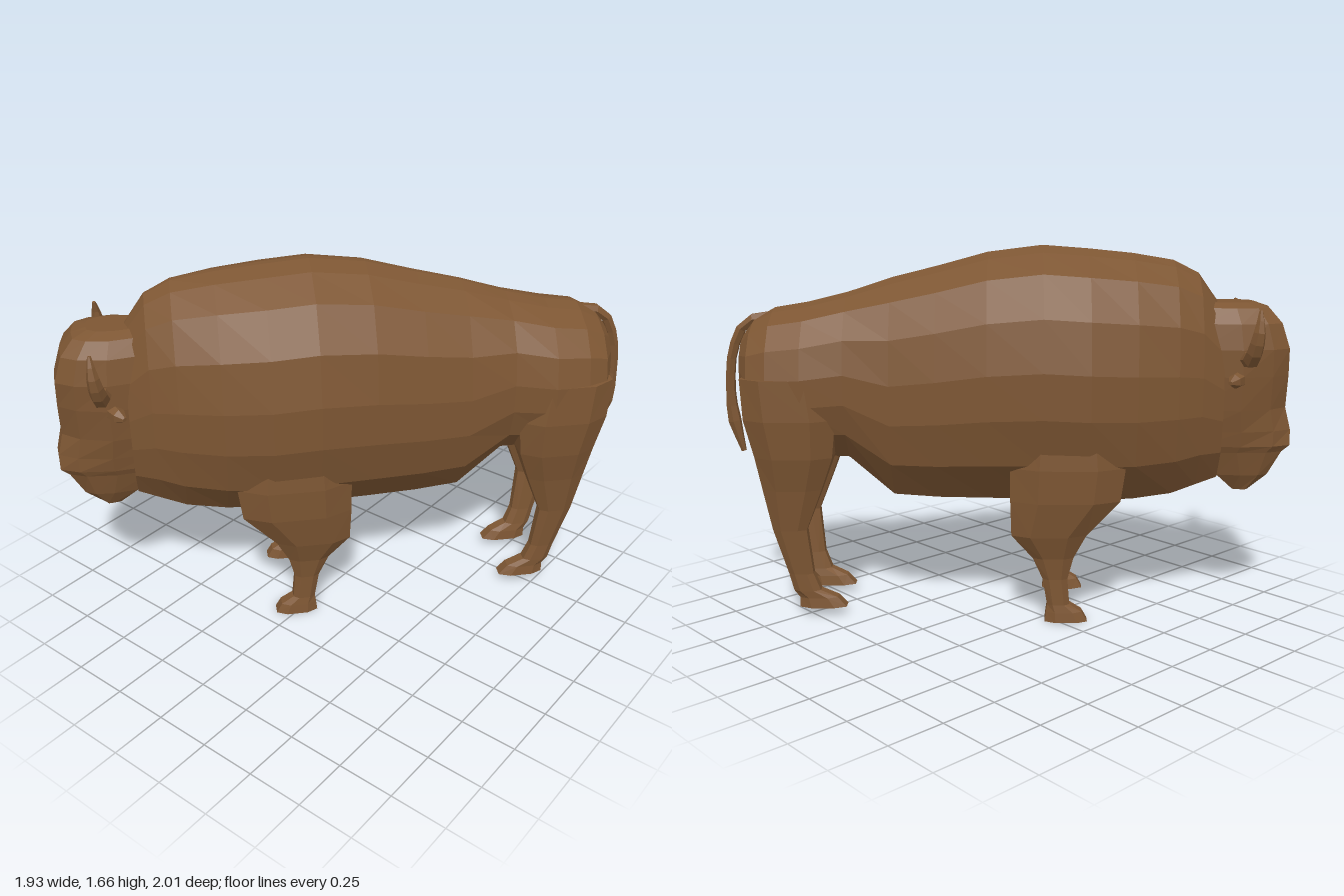
import * as THREE from 'three';

const hide = new THREE.MeshStandardMaterial({ color: 0x7d5633, flatShading: true });

// Skin a list of equal-length closed rings of [x, y, z], closing both ends with a fan
function loft(name, rings) {
  const n = rings[0].length, pos = [], v = (p) => new THREE.Vector3(...p);
  const tris = [];
  for (let i = 0; i < rings.length - 1; i++) {
    for (let j = 0; j < n; j++) {
      const k = (j + 1) % n, a = rings[i], b = rings[i + 1];
      tris.push([a[j], a[k], b[k]], [a[j], b[k], b[j]]);
    }
  }
  const mid = (r) => [0, 1, 2].map((c) => r.reduce((t, p) => t + p[c], 0) / n);
  const first = rings[0], last = rings[rings.length - 1];
  const c0 = mid(first), c1 = mid(last);
  for (let j = 0; j < n; j++) {
    const k = (j + 1) % n;
    tris.push([c0, first[k], first[j]], [c1, last[j], last[k]]);
  }
  // turn the corners round if the skin came out inside out
  let volume = 0;
  for (const [a, b, c] of tris) volume += v(a).dot(v(b).cross(v(c)));
  for (const [a, b, c] of tris) pos.push(...a, ...(volume > 0 ? b : c), ...(volume > 0 ? c : b));
  const g = new THREE.BufferGeometry();
  g.setAttribute('position', new THREE.Float32BufferAttribute(pos, 3));
  g.computeVertexNormals();
  const m = new THREE.Mesh(g, hide);
  m.name = name;
  return m;
}

// Mirror a half outline (x >= 0) into a closed ring
const mirrorRing = (half) => [...half, ...half.slice().reverse().map(([x, y, z]) => [-x, y, z])];

// Trunk: z, belly height, back height, half width
function body() {
  const section = [[0.42, 0], [0.84, 0.17], [0.99, 0.36], [1, 0.54], [0.9, 0.74], [0.62, 0.9], [0.27, 0.975], [0.04, 1]];
  const stations = [
    [-1.17, 0.95, 1.27, 0.15], [-1.12, 0.8, 1.335, 0.25], [-1.03, 0.75, 1.385, 0.285], [-0.88, 0.74, 1.41, 0.3],
    [-0.7, 0.73, 1.455, 0.275], [-0.5, 0.56, 1.52, 0.3], [-0.3, 0.55, 1.57, 0.335], [-0.08, 0.55, 1.63, 0.37],
    [0.16, 0.55, 1.66, 0.395], [0.36, 0.545, 1.645, 0.395], [0.56, 0.545, 1.625, 0.355], [0.74, 0.565, 1.595, 0.3],
    [0.85, 0.6, 1.54, 0.25], [0.95, 0.63, 1.4, 0.195],
  ];
  return loft('body', stations.map(([z, lo, hi, w]) =>
    mirrorRing(section.map(([x, t]) => [x * w, lo + t * (hi - lo), z]))));
}

// Head, from the beard up to the crown: y, back z, front z, half width, half width of the face
function head() {
  const levels = [
    [0.565, 1.03, 1.1, 0.06, 0.045], [0.64, 0.95, 1.18, 0.1, 0.07], [0.75, 0.86, 1.235, 0.13, 0.09],
    [0.78, 0.85, 1.27, 0.145, 0.095], [0.85, 0.85, 1.27, 0.16, 0.085], [0.95, 0.85, 1.245, 0.18, 0.08],
    [1.1, 0.85, 1.245, 0.198, 0.11], [1.22, 0.85, 1.24, 0.2, 0.13], [1.33, 0.86, 1.205, 0.18, 0.12],
    [1.395, 0.88, 1.15, 0.135, 0.09], [1.415, 0.9, 1.09, 0.08, 0.05],
  ];
  return loft('head', levels.map(([y, b, f, w, fw]) => mirrorRing([
    [0.02, y, f + 0.01], [fw, y, f], [(w + fw) / 2 + 0.01, y, f - (f - b) * 0.2], [w, y, b + (f - b) * 0.45], [w * 0.85, y, b],
  ])));
}

// Leg: y, centre x, centre z, half width, half length
function leg(name, side, levels) {
  const outline = [[1, 0.5], [0.55, 1], [-0.55, 1], [-1, 0.5], [-1, -0.5], [-0.55, -1], [0.55, -1], [1, -0.5]];
  return loft(name, levels.map(([y, x, z, w, l]) =>
    outline.map(([a, b]) => [side * (x + a * w), y, z + b * l])));
}
const foreLevels = [
  [0.95, 0.22, 0.27, 0.12, 0.22], [0.72, 0.225, 0.27, 0.125, 0.25], [0.57, 0.225, 0.26, 0.115, 0.24],
  [0.41, 0.225, 0.19, 0.085, 0.165], [0.3, 0.225, 0.21, 0.05, 0.09], [0.2, 0.225, 0.22, 0.037, 0.055],
  [0.08, 0.22, 0.235, 0.04, 0.05], [0.045, 0.22, 0.26, 0.045, 0.08], [0, 0.22, 0.27, 0.05, 0.095],
];
const hindLevels = [
  [1.1, 0.17, -0.96, 0.125, 0.19], [0.92, 0.175, -0.94, 0.125, 0.2], [0.75, 0.175, -0.93, 0.105, 0.17],
  [0.6, 0.175, -0.945, 0.07, 0.13], [0.41, 0.175, -0.965, 0.04, 0.075], [0.2, 0.16, -0.925, 0.035, 0.055],
  [0.12, 0.155, -0.9, 0.04, 0.06], [0.085, 0.15, -0.85, 0.043, 0.085], [0.04, 0.15, -0.83, 0.048, 0.105],
];

// Tapered tube along a curve: radii are spread evenly from start to end
function horn(name, points, radii, sides, steps) {
  const curve = new THREE.CatmullRomCurve3(points.map((p) => new THREE.Vector3(...p)));
  const { normals, binormals } = curve.computeFrenetFrames(steps, false);
  const rings = [];
  for (let i = 0; i <= steps; i++) {
    const t = i / steps, p = curve.getPointAt(t), f = t * (radii.length - 1), k = Math.min(Math.floor(f), radii.length - 2);
    const r = THREE.MathUtils.lerp(radii[k], radii[k + 1], f - k);
    rings.push(Array.from({ length: sides }, (_, j) => {
      const a = (j / sides) * Math.PI * 2;
      return p.clone().addScaledVector(normals[i], r * Math.cos(a)).addScaledVector(binormals[i], r * Math.sin(a)).toArray();
    }));
  }
  return loft(name, rings);
}

export function createModel() {
  const bison = new THREE.Group();
  bison.name = 'bison';
  bison.add(body(), head());
  for (const [side, label] of [[1, 'left'], [-1, 'right']]) {
    bison.add(leg(`${label}ForeLeg`, side, foreLevels), leg(`${label}HindLeg`, side, hindLevels));
    // Horns sweep out and then up
    bison.add(horn(`${label}Horn`,
      [[0.15, 1.19, 1.05], [0.23, 1.18, 1.05], [0.28, 1.24, 1.06], [0.295, 1.32, 1.07], [0.275, 1.4, 1.075]].map(([x, y, z]) => [side * x, y, z]),
      [0.04, 0.038, 0.03, 0.008], 6, 7));
    // Ears are short pointed buds below the horns
    bison.add(horn(`${label}Ear`,
      [[0.15, 1.09, 1.02], [0.2, 1.09, 1.0], [0.245, 1.085, 0.965]].map(([x, y, z]) => [side * x, y, z]),
      [0.025, 0.042, 0.01], 6, 3));
  }
  // Tail hangs behind the rump and ends in a tuft
  bison.add(horn('tail', [[0, 1.34, -1.06], [0, 1.32, -1.16], [0, 1.2, -1.225], [0, 1.05, -1.245], [0, 0.9, -1.24], [0, 0.73, -1.2]],
    [0.03, 0.024, 0.022, 0.022, 0.03, 0.012], 6, 10));

  // The animal stands diagonally
  bison.rotation.y = THREE.MathUtils.degToRad(-43);
  const model = new THREE.Group();
  model.name = 'model';
  model.add(bison);
  return model;
}
